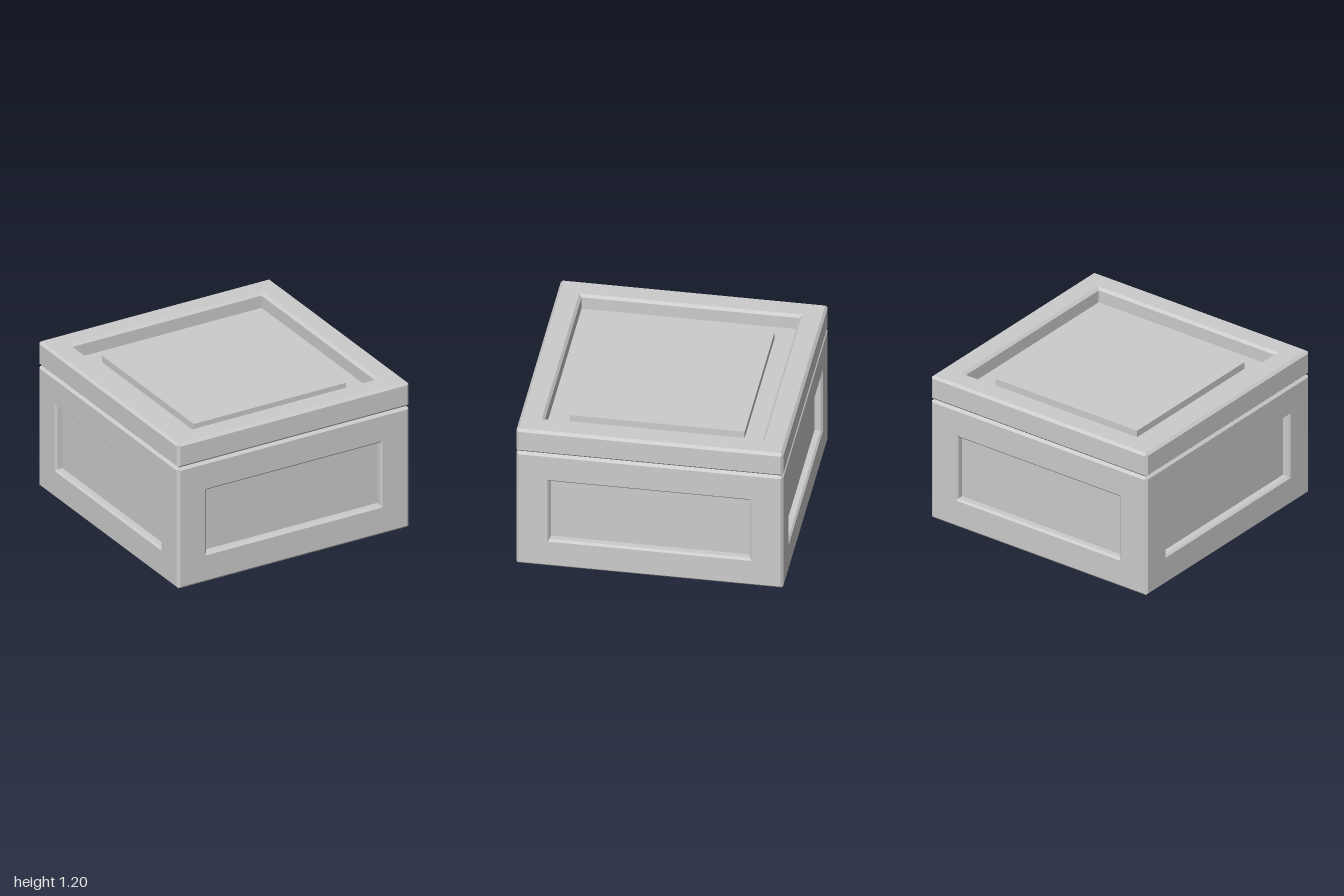
import * as THREE from 'three';

const BEVEL = 0.02;

// One face of a block: nested rectangles [halfWidth, halfHeight, z], outermost first, closed by the last.
function faceGeometry(rings) {
  const corners = rings.map(([w, h, z]) => [[-w, -h, z], [w, -h, z], [w, h, z], [-w, h, z]]);
  const pos = [];
  const quad = (a, b, c, d) => pos.push(...a, ...b, ...c, ...a, ...c, ...d);
  for (let r = 0; r < corners.length - 1; r++) {
    const a = corners[r], b = corners[r + 1];
    for (let i = 0; i < 4; i++) {
      const j = (i + 1) % 4;
      quad(a[i], a[j], b[j], b[i]);
    }
  }
  quad(...corners[corners.length - 1]);
  const geo = new THREE.BufferGeometry();
  geo.setAttribute('position', new THREE.Float32BufferAttribute(pos, 3));
  geo.computeVertexNormals();
  return geo;
}

// Square block with bevelled edges; extra rings shape its four sides and its top.
function block(name, height, material, sideRings = [], topRings = []) {
  const group = new THREE.Group();
  group.name = name;
  const h = height / 2, m = BEVEL / 2; // neighbouring faces meet halfway across each bevel
  const add = (part, rings, rx, ry) => {
    const mesh = new THREE.Mesh(faceGeometry(rings), material);
    mesh.name = part;
    mesh.rotation.set(rx, ry, 0);
    group.add(mesh);
  };
  const side = [[1 - m, h - m, 1 - m], [1 - BEVEL, h - BEVEL, 1], ...sideRings];
  const flat = [[1 - m, 1 - m, h - m], [1 - BEVEL, 1 - BEVEL, h]];
  ['front', 'left', 'back', 'right'].forEach((s, i) => add(s + 'Side', side, 0, i * Math.PI / 2));
  add('topFace', [...flat, ...topRings], -Math.PI / 2, 0);
  add('bottomFace', flat, Math.PI / 2, 0);
  return group;
}

export function createModel() {
  const model = new THREE.Group();
  model.name = 'panelledBox';
  const grey = new THREE.MeshStandardMaterial({ color: 0xcccccc });
  grey.name = 'plainGrey';

  // Body with a sunken panel on every side
  const body = block('body', 1, grey, [
    [0.765, 0.275, 1], [0.75, 0.26, 0.985], [0.75, 0.26, 0.94],
  ]);
  body.position.y = 0.5;

  // Lid with a sunken top and a raised centre panel
  const lid = block('lid', 0.2, grey, [], [
    [0.835, 0.835, 0.1], [0.815, 0.815, 0.08], [0.815, 0.815, -0.02],
    [0.655, 0.655, -0.02], [0.655, 0.655, 0.035],
  ]);
  lid.position.y = 1.1;

  model.add(body, lid);
  return model;
}
